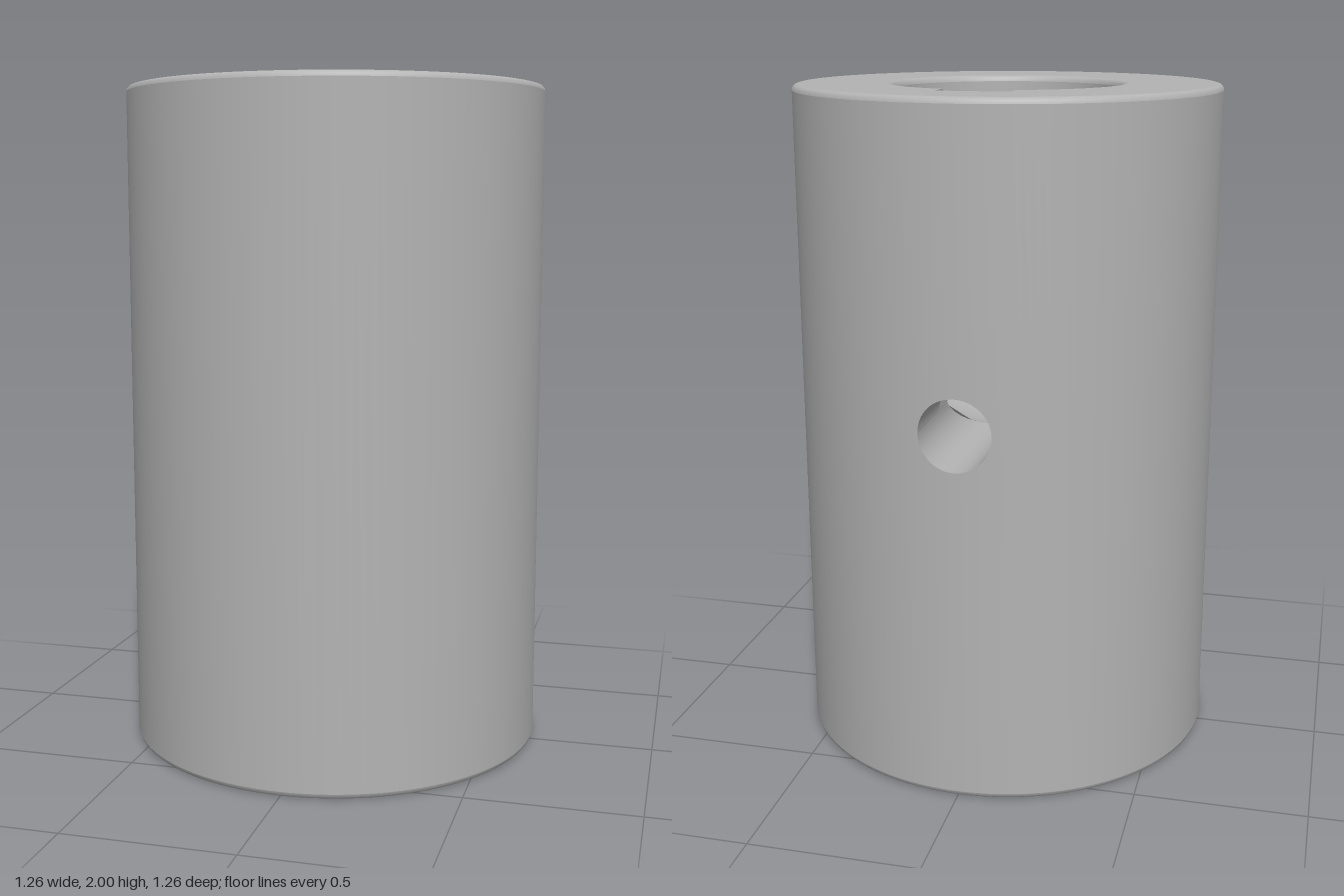
import * as THREE from 'three';

const R = 0.63, BORE = 0.335, W = 0.1045, SLOT_Z = -0.41; // outer, bore, half slot width, slot back
const H = 2, HOLE_Y = 1.1, F = 0.017;                    // height, cross hole height, edge rounding
const BOWL_R = 0.5, BOWL_Y = HOLE_Y + Math.sqrt(BOWL_R ** 2 - BORE ** 2); // bowl sphere
const PATCH = 0.3;                                       // half size of the wall patch round the hole

// Surface from a rule f(u, v) -> [x, y, z], with u and v in 0..1
function grid(f, nu, nv) {
  const pos = [], idx = [];
  for (let j = 0; j <= nv; j++) for (let i = 0; i <= nu; i++) pos.push(...f(i / nu, j / nv));
  for (let j = 0; j < nv; j++) for (let i = 0; i < nu; i++) {
    const a = j * (nu + 1) + i, b = a + 1, c = a + nu + 1, d = c + 1;
    idx.push(a, b, d, a, d, c);
  }
  const g = new THREE.BufferGeometry();
  g.setAttribute('position', new THREE.Float32BufferAttribute(pos, 3));
  g.setIndex(idx);
  g.computeVertexNormals();
  return g;
}

const lathe = (pts, seg = 96, start = 0, len = Math.PI * 2) =>
  new THREE.LatheGeometry(pts.map(p => new THREE.Vector2(...p)), seg, start, len);

// Radius of the bowl at a height, and height at a radius
const bowlR = y => Math.sqrt(BOWL_R ** 2 - (BOWL_Y - y) ** 2);
const bowlY = r => BOWL_Y - Math.sqrt(BOWL_R ** 2 - r * r);

// Radius of the bore at a height, with its rounded mouth
const boreR = y => y <= H - F ? BORE
  : BORE + F - Math.sqrt(Math.max(0, F * F - (y - H + F) ** 2));

// Where the bowl is cut by the cross hole in direction phi
function bowlLimit(phi) {
  const s = Math.abs(Math.sin(phi));
  if (Math.cos(phi) > 0 || BORE * s >= W) return BORE;
  let lo = 0, hi = BORE;
  for (let i = 0; i < 30; i++) {
    const m = (lo + hi) / 2;
    if (bowlY(m) < HOLE_Y - Math.sqrt(W * W - (m * s) ** 2)) lo = m; else hi = m;
  }
  return lo;
}

export function createModel() {
  const model = new THREE.Group();
  const steel = new THREE.MeshStandardMaterial({ color: 0xb3b3b3, side: THREE.DoubleSide });
  steel.name = 'steel grey';
  const add = (name, geometry) => {
    const m = new THREE.Mesh(geometry, steel);
    m.name = name;
    model.add(m);
  };

  // Outer wall, leaving a window at the back for the cross hole
  const a = Math.asin(PATCH / R);
  add('outerWall', lathe([[R, F], [R, H - F]], 96, Math.PI + a, 2 * Math.PI - 2 * a));
  for (const [y0, y1] of [[F, HOLE_Y - PATCH], [HOLE_Y + PATCH, H - F]])
    add('backWall', lathe([[R, y0], [R, y1]], 24, Math.PI - a, 2 * a));

  // Wall patch running from the round hole out to its square border
  const patch = grid((u, v) => {
    const t = u * Math.PI * 2, c = Math.cos(t), s = Math.sin(t);
    const k = W + (PATCH / Math.max(Math.abs(c), Math.abs(s)) - W) * v;
    return [k * c, HOLE_Y + k * s, -Math.sqrt(R * R - (k * c) ** 2)];
  }, 64, 10);
  const p = patch.attributes.position, n = patch.attributes.normal;
  const flip = n.getZ(0) > 0 ? -1 : 1;
  for (let i = 0; i < p.count; i++) n.setXYZ(i, flip * p.getX(i) / R, 0, flip * p.getZ(i) / R);
  add('holeSurround', patch);

  // Rounded outer rims and base
  const arc = [0, 1, 2, 3].map(i => i * Math.PI / 6);
  add('topRim', lathe(arc.map(t => [R - F + F * Math.cos(t), H - F + F * Math.sin(t)])));
  add('bottomRim', lathe(arc.map(t => [R - F + F * Math.sin(t), F - F * Math.cos(t)])));
  add('base', lathe([[0, 0], [R - F, 0]]));

  // Top ring with the keyhole outline cut out
  const mouth = BORE + F, b = Math.asin(W / mouth);
  const ring = new THREE.Shape().absarc(0, 0, R - F, 0, Math.PI * 2);
  const cut = new THREE.Path();
  cut.moveTo(W, -SLOT_Z);
  cut.lineTo(-W, -SLOT_Z);
  cut.absarc(0, 0, mouth, Math.PI / 2 + b, Math.PI * 2.5 - b, false);
  cut.closePath();
  ring.holes.push(cut);
  add('topFace', new THREE.ShapeGeometry(ring, 96).rotateX(-Math.PI / 2).translate(0, H, 0));

  // Bore wall and its rounded mouth, both open at the slot
  const bore = (name, yAt, nv) => add(name, grid((u, v) => {
    const y = yAt(v), r = boreR(y), g = Math.asin(W / r);
    const phi = Math.PI + g + u * (2 * Math.PI - 2 * g);
    return [r * Math.sin(phi), y, r * Math.cos(phi)];
  }, 96, nv));
  bore('boreWall', v => H - F - v * (H - F - HOLE_Y), 1);
  bore('boreMouth', v => H - F + F * Math.cos(v * Math.PI / 2), 3);

  // Shallow bowl at the bottom of the bore
  add('boreFloor', grid((u, v) => {
    const phi = u * Math.PI * 2, r = v * bowlLimit(phi);
    return [r * Math.sin(phi), bowlY(r), r * Math.cos(phi)];
  }, 180, 18));

  // Keyway side walls and back wall
  for (const s of [-1, 1])
    add('keywaySide', grid((u, v) => {
      const y = v < 0.5 ? HOLE_Y + (H - F - HOLE_Y) * v * 2 : H - F + F * (v * 2 - 1);
      const inner = -Math.sqrt(boreR(y) ** 2 - W * W);
      return [s * W, y, s > 0 ? SLOT_Z + (inner - SLOT_Z) * u : inner + (SLOT_Z - inner) * u];
    }, 1, 8));
  add('keywayBack', grid((u, v) => {
    const t = Math.PI * (1 - u), y = HOLE_Y + W * Math.sin(t);
    return [W * Math.cos(t), y + (H - y) * v, SLOT_Z];
  }, 32, 1));

  // Cross hole: the upper half stops at the keyway, the lower half runs into the bowl
  const half = (name, start, innerZ) => add(name, grid((u, v) => {
    const t = start + u * Math.PI, x = W * Math.cos(t), y = HOLE_Y + W * Math.sin(t);
    const z0 = innerZ(x, y), z1 = -Math.sqrt(R * R - x * x);
    return [x, y, z0 + (z1 - z0) * v];
  }, 32, 1));
  half('crossHoleTop', 0, () => SLOT_Z);
  half('crossHoleBottom', Math.PI, (x, y) => -Math.sqrt(bowlR(y) ** 2 - x * x));

  return model;
}
